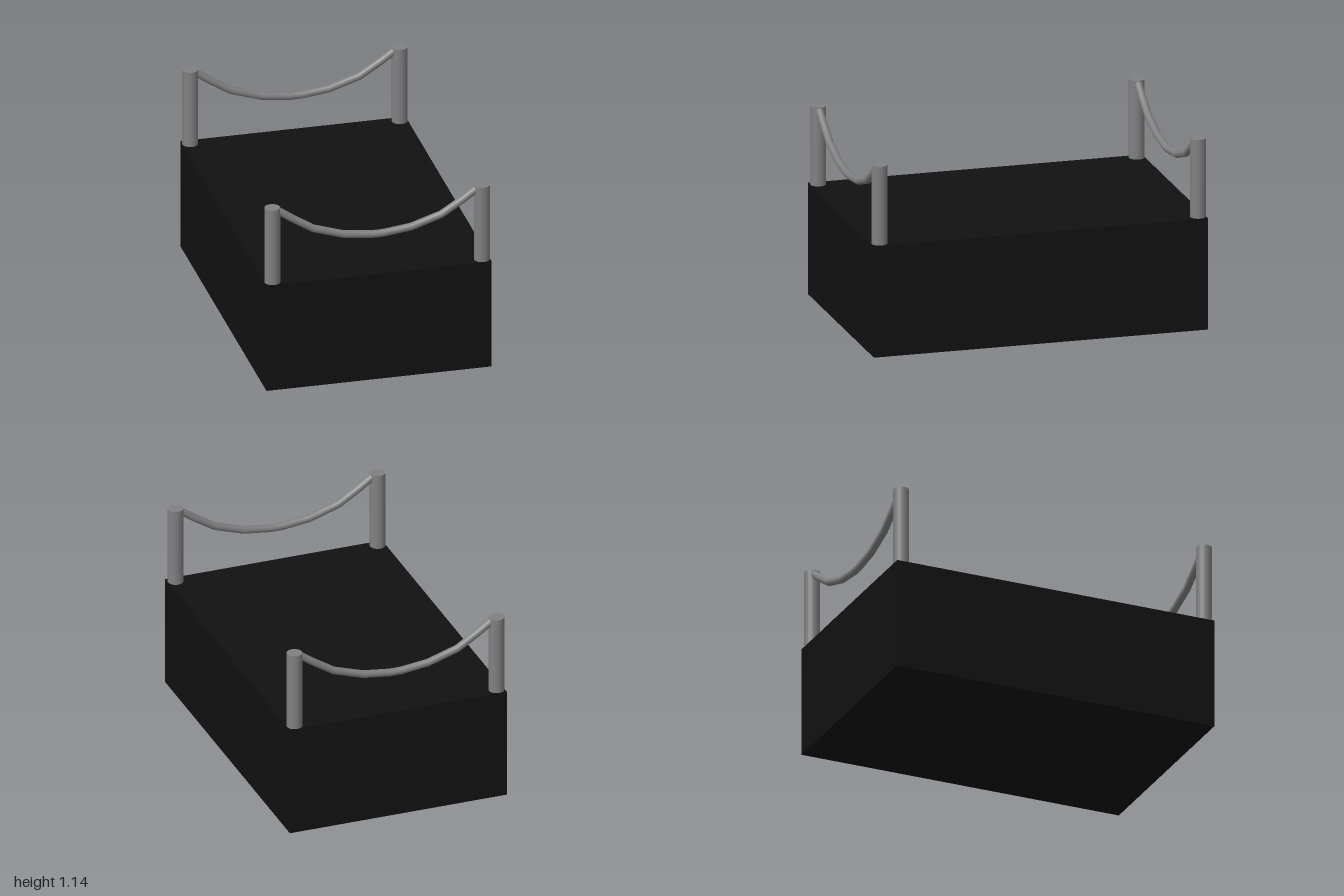
import * as THREE from 'three';

// Polyline path: every listed point becomes one ring of the tube.
class Polyline extends THREE.Curve {
  constructor(points) {
    super();
    this.points = points;
  }
  getPoint(t, target = new THREE.Vector3()) {
    const n = this.points.length - 1;
    const f = THREE.MathUtils.clamp(t, 0, 1) * n;
    const i = Math.min(Math.floor(f + 1e-9), n - 1);
    return target.lerpVectors(this.points[i], this.points[i + 1], f - i);
  }
  getPointAt(t, target) { return this.getPoint(t, target); }
  getTangentAt(t, target) { return this.getTangent(t, target); }
}

export function createModel() {
  const model = new THREE.Group();
  model.name = 'ropedPlatform';

  const black = new THREE.MeshStandardMaterial({ color: 0x111111 });
  const grey = new THREE.MeshStandardMaterial({ color: 0x808080 });

  const width = 1.334, height = 0.668, depth = 2;
  const postRadius = 0.046, postTop = 1.14;
  const postX = width / 2 - postRadius, postZ = depth / 2 - postRadius;

  const add = (name, geometry, material, x, y, z) => {
    const mesh = new THREE.Mesh(geometry, material);
    mesh.name = name;
    mesh.position.set(x, y, z);
    model.add(mesh);
  };

  // Solid platform
  add('platform', new THREE.BoxGeometry(width, height, depth), black, 0, height / 2, 0);

  // Sagging rope, mirrored about its middle
  const half = [[0.035, 0.902], [0.2, 0.922], [0.38, 0.98], [0.51, 1.062], [0.59, 1.119]];
  const points = [
    ...half.slice().reverse().map(([x, y]) => new THREE.Vector3(-x, y, 0)),
    ...half.map(([x, y]) => new THREE.Vector3(x, y, 0)),
  ];
  const rope = new THREE.TubeGeometry(new Polyline(points), points.length - 1, 0.0225, 16, false);

  // Corner posts and the rope between each pair
  const postHeight = postTop - height;
  const post = new THREE.CylinderGeometry(postRadius, postRadius, postHeight, 24);
  for (const [end, sz] of [['front', 1], ['back', -1]]) {
    for (const [side, sx] of [['Left', 1], ['Right', -1]]) {
      add(`${end}${side}Post`, post, grey, sx * postX, height + postHeight / 2, sz * postZ);
    }
    add(`${end}Rope`, rope, grey, 0, 0, sz * postZ);
  }

  return model;
}
